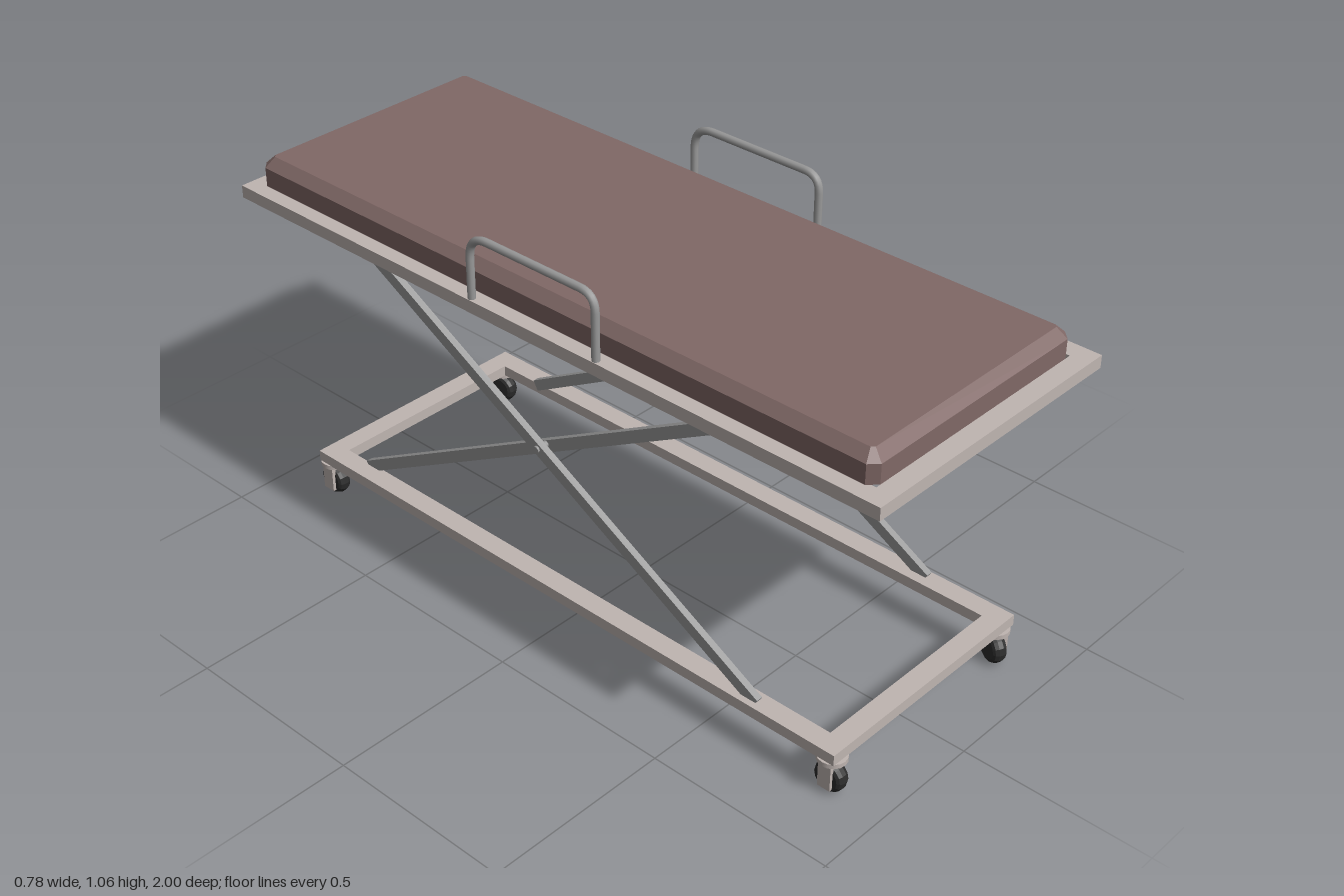
import * as THREE from 'three';

const material = (color, extra = {}) => new THREE.MeshStandardMaterial({ color, ...extra });

export function createModel() {
  const model = new THREE.Group();
  const frameMat = material(0xbfb5b1);
  const steelMat = material(0x999999);
  const tubeMat = material(0x999999);
  const padMat = material(0x806866);
  const tyreMat = material(0x2c2c2c, { flatShading: true });

  const add = (parent, name, geometry, mat, x = 0, y = 0, z = 0) => {
    const mesh = new THREE.Mesh(geometry, mat);
    mesh.name = name;
    mesh.position.set(x, y, z);
    parent.add(mesh);
    return mesh;
  };

  const rectangle = (path, w, l, c = 0) => path.setFromPoints([
    [-w + c, -l], [w - c, -l], [w, -l + c], [w, l - c],
    [w - c, l], [-w + c, l], [-w, l - c], [-w, -l + c],
  ].filter((p, i) => c > 0 || i % 2 === 0).map(([x, y]) => new THREE.Vector2(x, y)));

  // Open rectangular frame lying flat, w and l are half sizes
  const frameGeometry = (w, l, bar, height) => {
    const shape = rectangle(new THREE.Shape(), w, l);
    shape.holes.push(rectangle(new THREE.Path(), w - bar, l - bar));
    return new THREE.ExtrudeGeometry(shape, { depth: height, bevelEnabled: false }).rotateX(-Math.PI / 2);
  };
  add(model, 'topFrame', frameGeometry(0.39, 1, 0.05, 0.033), frameMat, 0, 0.857, 0);
  add(model, 'baseFrame', frameGeometry(0.34, 0.872, 0.055, 0.03), frameMat, 0.008, 0.1, 0.008);

  // Mattress: clipped corners, bevelled top edge, flat underside
  const pad = new THREE.ExtrudeGeometry(rectangle(new THREE.Shape(), 0.347, 0.962, 0.022), {
    depth: 0.05, bevelSize: 0.025, bevelOffset: -0.025, bevelThickness: 0.025, bevelSegments: 1,
  });
  const pos = pad.attributes.position;
  for (let i = 0; i < pos.count; i++) pos.setZ(i, Math.max(0, pos.getZ(i)));
  pad.rotateX(-Math.PI / 2);
  pad.computeVertexNormals();
  add(model, 'mattress', pad, padMat, -0.002, 0.89, -0.012);

  // Scissor legs: a flat bar from the base frame up to the top frame
  const leg = (name, x, zBottom, zTop) => {
    const y0 = 0.125, y1 = 0.862;
    const length = Math.hypot(y1 - y0, zTop - zBottom);
    const bar = add(model, name, new THREE.BoxGeometry(0.018, length, 0.031), steelMat,
      x, (y0 + y1) / 2, (zBottom + zTop) / 2);
    bar.rotation.x = Math.atan2(zTop - zBottom, y1 - y0);
  };
  leg('rightOuterLeg', -0.306, 0.635, -0.7);
  leg('leftOuterLeg', 0.329, 0.635, -0.7);
  leg('rightInnerLeg', -0.277, -0.72, 0.605);
  leg('leftInnerLeg', 0.296, -0.68, 0.65);

  // Pivot pins where the legs cross
  for (const [name, x, y, z, length] of [
    ['rightPivot', -0.293, 0.505, -0.05, 0.056], ['leftPivot', 0.318, 0.488, -0.02, 0.044],
  ]) {
    add(model, name, new THREE.CylinderGeometry(0.009, 0.009, length, 12).rotateZ(Math.PI / 2), steelMat, x, y, z);
  }

  // Side rails: bent tube with rounded upper corners
  const v = (y, z) => new THREE.Vector3(0, y, z);
  const railPath = new THREE.CurvePath();
  const front = 0.21, back = -0.182, top = 1.055;
  railPath.add(new THREE.LineCurve3(v(0.88, front), v(top - 0.045, front)));
  railPath.add(new THREE.QuadraticBezierCurve3(v(top - 0.045, front), v(top, front), v(top, front - 0.045)));
  railPath.add(new THREE.LineCurve3(v(top, front - 0.045), v(top, back + 0.06)));
  railPath.add(new THREE.QuadraticBezierCurve3(v(top, back + 0.06), v(top, back), v(top - 0.06, back)));
  railPath.add(new THREE.LineCurve3(v(top - 0.06, back), v(0.88, back)));
  const rail = new THREE.TubeGeometry(railPath, 80, 0.01, 10);
  add(model, 'rightRail', rail, tubeMat, -0.379);
  add(model, 'leftRail', rail, tubeMat, 0.375);

  // Casters: swivel plate, one outer arm, axle and a chamfered wheel
  const wheel = new THREE.LatheGeometry([
    [0, -0.019], [0.03, -0.019], [0.037, -0.015], [0.041, -0.006],
    [0.041, 0.006], [0.037, 0.015], [0.03, 0.019], [0, 0.019],
  ].map(([r, y]) => new THREE.Vector2(r, y)), 14).rotateZ(Math.PI / 2);
  const plate = new THREE.CylinderGeometry(0.037, 0.037, 0.012, 16);
  const arm = new THREE.BoxGeometry(0.011, 0.075, 0.036);
  const axle = new THREE.CylinderGeometry(0.009, 0.009, 0.03, 10).rotateZ(Math.PI / 2);
  const caster = (name, x, z, side, turn) => {
    const group = new THREE.Group();
    group.name = name;
    group.position.set(x, 0, z);
    group.rotation.y = turn;
    add(group, 'swivelPlate', plate, frameMat, 0, 0.095, 0);
    add(group, 'arm', arm, frameMat, side * 0.022, 0.0555, 0);
    add(group, 'axle', axle, frameMat, side * 0.012, 0.041, 0);
    add(group, 'wheel', wheel, tyreMat, 0, 0.041, 0);
    model.add(group);
  };
  caster('frontRightCaster', -0.302, 0.853, -1, 0);
  caster('frontLeftCaster', 0.313, 0.853, 1, -0.4);
  caster('backRightCaster', -0.302, -0.84, -1, 0);
  caster('backLeftCaster', 0.313, -0.84, 1, 0.15);

  return model;
}
